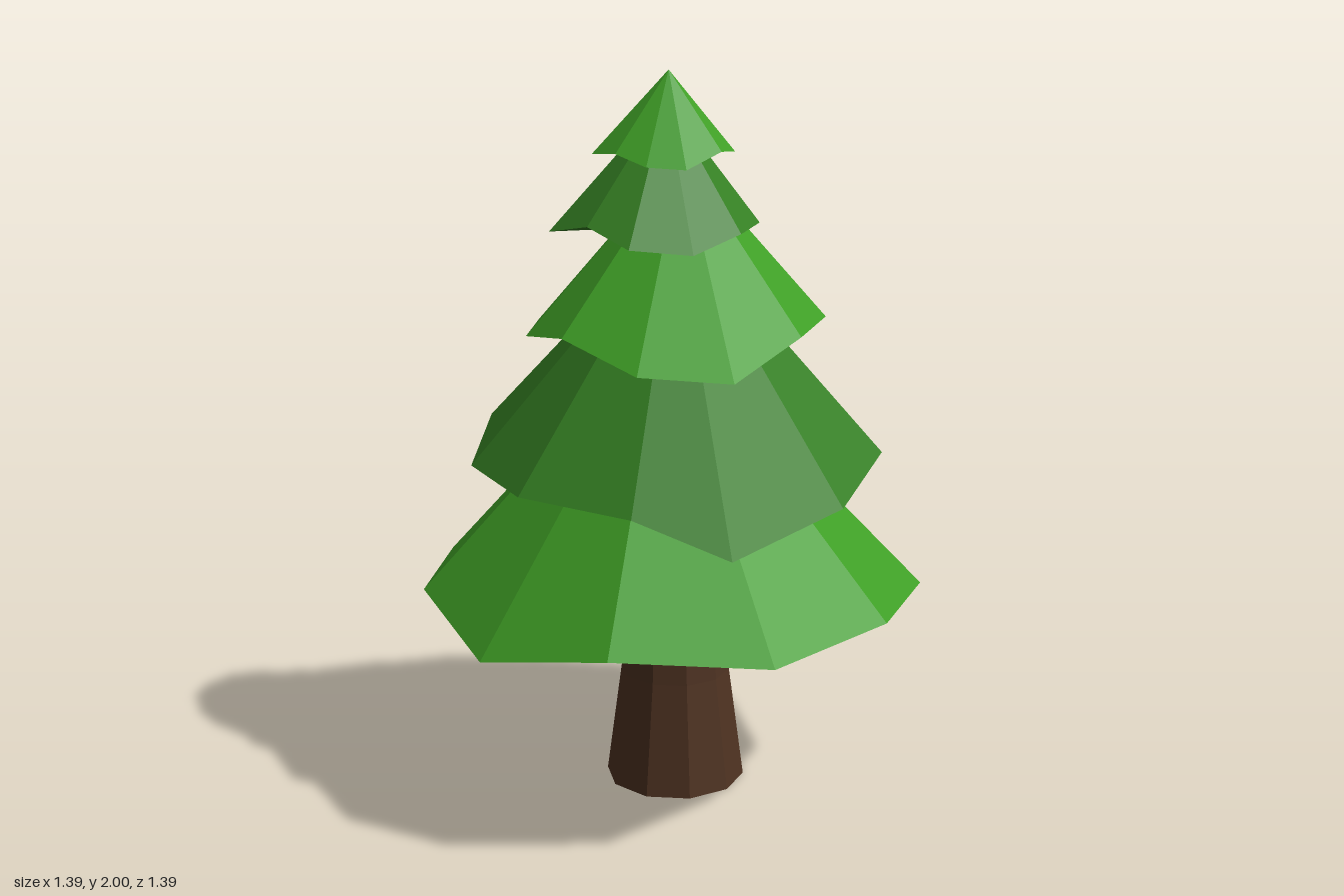
import * as THREE from 'three';

const SIDES = 11;
const lightGreen = new THREE.MeshStandardMaterial({ color: 0x3f9f26, flatShading: true });
const darkGreen = new THREE.MeshStandardMaterial({ color: 0x358023, flatShading: true });
const bark = new THREE.MeshStandardMaterial({ color: 0x4f3322, flatShading: true });

// Each tier: apex, rim centre (x, z), rim radius, rim heights, and small nudges (x, z) of single corners.
// Rim corners start at the back and run towards +x.
const tiers = [
  { apex: [0, 1.33, 0.05], centre: [0, 0], radius: 0.7,
    heights: [0.6, 0.575, 0.59, 0.6, 0.57, 0.595, 0.53, 0.6, 0.6, 0.6, 0.59],
    nudges: { 4: [0.02, 0.01], 5: [0, 0.01], 6: [0.02, 0.02] } },
  { apex: [0.03, 1.61, 0.03], centre: [0, 0], radius: 0.56,
    heights: [0.95, 0.985, 0.965, 0.885, 0.83, 0.92, 0.935, 0.945, 1.02, 1.0, 0.97],
    nudges: { 0: [-0.12, -0.02], 1: [0.02, -0.01], 2: [0.02, -0.01], 4: [0.01, 0.11], 5: [0.03, 0.01], 6: [0.01, 0.01] } },
  { apex: [0.03, 1.78, 0], centre: [0.015, 0.01], radius: 0.41,
    heights: [1.325, 1.325, 1.345, 1.325, 1.238, 1.257, 1.328, 1.3, 1.31, 1.31, 1.32],
    nudges: { 4: [0.03, 0.04], 5: [0.015, 0.04], 9: [0.02, 0], 10: [0.02, 0.01] } },
  { apex: [0.015, 1.925, 0.06], centre: [0.005, 0.09], radius: 0.272,
    heights: [1.605, 1.605, 1.605, 1.59, 1.545, 1.562, 1.61, 1.585, 1.59, 1.6, 1.6],
    nudges: { 5: [0, 0.02], 6: [0.01, -0.015], 7: [-0.015, 0.01] } },
  { apex: [0.033, 2, 0.078], centre: [0.016, 0.078], radius: 0.19,
    heights: [1.79, 1.79, 1.79, 1.795, 1.753, 1.76, 1.79, 1.785, 1.783, 1.79, 1.79],
    nudges: { 4: [0, 0.01], 6: [0.01, -0.01] } },
];

// Closed cone over an uneven rim
function tierGeometry({ apex, centre, radius, heights, nudges }) {
  const rim = heights.map((y, i) => {
    const a = (i / SIDES) * Math.PI * 2;
    const [dx, dz] = nudges[i] ?? [0, 0];
    return [centre[0] + radius * Math.sin(a) + dx, y, centre[1] - radius * Math.cos(a) + dz];
  });
  const middle = [0, 1, 2].map((k) => rim.reduce((sum, p) => sum + p[k], 0) / SIDES);
  const positions = [];
  rim.forEach((p, i) => {
    const next = rim[(i + 1) % SIDES];
    positions.push(...apex, ...next, ...p); // slope
    positions.push(...middle, ...p, ...next); // underside
  });
  const geometry = new THREE.BufferGeometry();
  geometry.setAttribute('position', new THREE.Float32BufferAttribute(positions, 3));
  geometry.computeVertexNormals();
  return geometry;
}

export function createModel() {
  const tree = new THREE.Group();
  tree.name = 'pineTree';

  // Flared trunk with a closed foot
  const profile = [[0, 0], [0.198, 0], [0.155, 0.32], [0.135, 0.62], [0, 0.62]];
  const trunk = new THREE.Mesh(
    new THREE.LatheGeometry(profile.map(([r, y]) => new THREE.Vector2(r, y)), 10, THREE.MathUtils.degToRad(5)),
    bark,
  );
  trunk.name = 'trunk';
  trunk.position.x = 0.01;
  tree.add(trunk);

  // Foliage tiers in alternating greens, bottom to top
  tiers.forEach((tier, i) => {
    const mesh = new THREE.Mesh(tierGeometry(tier), i % 2 ? darkGreen : lightGreen);
    mesh.name = `foliageTier${i + 1}`;
    tree.add(mesh);
  });
  return tree;
}
